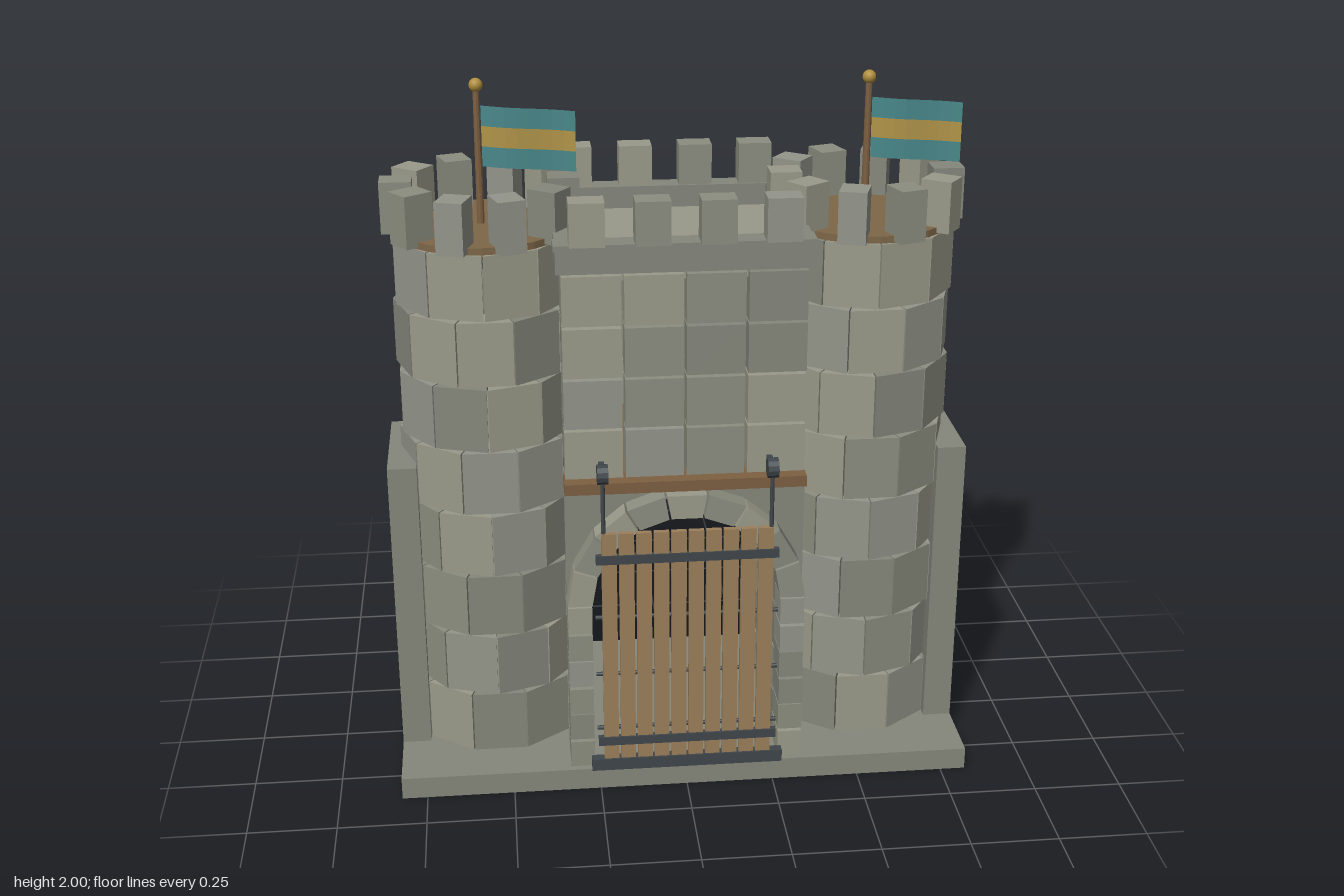
import * as THREE from 'three';

const mat = (color, extra = {}) => new THREE.MeshStandardMaterial({ color, flatShading: true, ...extra });
const STONES = [0x9a9a8a, 0x8c8e80, 0x85877b, 0x93958a].map((c) => mat(c));
const PLAIN = mat(0x85877b);
const PALE = mat(0x9a9a8a);
const PLANK = mat(0x9b7f5a);
const BEAM = mat(0x7d6042);
const FLOOR = mat(0x7d6748);
const IRON = mat(0x3f464a);
const GOLD = new THREE.MeshStandardMaterial({ color: 0xb08d3c });
const CLOTH = [0x4a8a8c, 0xb3964a, 0x4a8a8c].map((c) => mat(c, { side: THREE.DoubleSide }));

let seed = 7;
const pickStone = () => {
  seed = (seed * 16807) % 2147483647;
  return STONES[seed % STONES.length];
};

function add(parent, name, geometry, material, x = 0, y = 0, z = 0) {
  const mesh = new THREE.Mesh(geometry, material);
  mesh.name = name;
  mesh.position.set(x, y, z);
  parent.add(mesh);
  return mesh;
}

// box given by its lower and upper limits on each axis
function span(parent, name, material, [x0, x1], [y0, y1], [z0, z1]) {
  return add(parent, name, new THREE.BoxGeometry(x1 - x0, y1 - y0, z1 - z0), material,
    (x0 + x1) / 2, (y0 + y1) / 2, (z0 + z1) / 2);
}

function subgroup(parent, name) {
  const g = new THREE.Group();
  g.name = name;
  parent.add(g);
  return g;
}

// wedge-shaped stone between two radii and two angles, extruded along z
function wedge(inner, outer, a0, a1, depth, gap) {
  const at = (r, a, s) => new THREE.Vector2(
    r * Math.cos(a) - s * gap * Math.sin(a), r * Math.sin(a) + s * gap * Math.cos(a));
  const shape = new THREE.Shape([at(inner, a0, 1), at(outer, a0, 1), at(outer, a1, -1), at(inner, a1, -1)]);
  return new THREE.ExtrudeGeometry(shape, { depth, bevelEnabled: false });
}

const BASE = 0.065;

// ten-sided hollow tower of staggered stones, with merlons and a flag
function makeTower(parent, x, name) {
  const tower = subgroup(parent, name);
  tower.position.x = x;
  const rows = 8, rowH = (1.585 - BASE) / rows, step = Math.PI / 5;
  for (let r = 0; r < rows; r++) {
    for (let i = 0; i < 10; i++) {
      const a = (i + (r % 2 ? -0.5 : 0)) * step;
      const g = wedge(0.17, 0.252, a, a + step, rowH - 0.007, 0.002).rotateX(-Math.PI / 2);
      add(tower, 'towerStone', g, pickStone(), 0, BASE + r * rowH, 0);
    }
  }
  add(tower, 'towerFloor', new THREE.CylinderGeometry(0.24, 0.24, 0.025, 30), FLOOR, 0, 1.585, 0);
  for (let i = 0; i < 10; i++) {
    const a = i * step;
    const m = add(tower, 'towerMerlon', new THREE.BoxGeometry(0.088, 0.145, 0.077), pickStone(),
      0.228 * Math.cos(a), 1.655, 0.228 * Math.sin(a));
    m.rotation.y = -a;
  }
  // pole, finial and striped flag that sags away from the pole
  add(tower, 'flagPole', new THREE.CylinderGeometry(0.009, 0.011, 0.385, 10), BEAM, 0, 1.78, 0);
  add(tower, 'finial', new THREE.SphereGeometry(0.019, 14, 10), GOLD, 0, 1.98, 0);
  CLOTH.forEach((m, i) => {
    const g = new THREE.PlaneGeometry(0.255, 0.056, 8, 1);
    const p = g.attributes.position;
    for (let k = 0; k < p.count; k++) {
      const t = p.getX(k) / 0.255 + 0.5;
      p.setY(k, p.getY(k) - 0.022 * t);
      p.setZ(k, 0.006 * Math.sin(t * 6));
    }
    add(tower, 'flagStripe', g, m, 0.138, 1.896 - i * 0.056, 0);
  });
}

// block wall running along x at the given face, as a grid with open joints
function blockWall(parent, name, axis, [a0, a1], [y0, y1], [d0, d1], cols, rows) {
  const w = (a1 - a0) / cols, h = (y1 - y0) / rows, j = 0.004;
  for (let r = 0; r < rows; r++) {
    for (let c = 0; c < cols; c++) {
      const along = [a0 + c * w + j, a0 + (c + 1) * w - j];
      const up = [y0 + r * h + j, y0 + (r + 1) * h - j];
      if (axis === 'x') span(parent, name, pickStone(), along, up, [d0, d1]);
      else span(parent, name, pickStone(), [d0, d1], up, along);
    }
  }
}

// arch with jambs, voussoirs, spandrel and lintel beam; built facing +z
function makeArch(parent, name) {
  const arch = subgroup(parent, name);
  const inner = 0.265, outer = 0.335, spring = 0.58, n = 9, rows = 6;
  const h = (spring - BASE) / rows;
  for (const s of [-1, 1]) {
    for (let r = 0; r < rows; r++) {
      const y = BASE + r * h;
      add(arch, 'jambStone', new THREE.BoxGeometry(0.068, h - 0.006, r % 2 ? 0.105 : 0.115), pickStone(),
        s * 0.3, y + h / 2, 0.305);
    }
  }
  for (let i = 0; i < n; i++) {
    const a = (i * Math.PI) / n;
    add(arch, 'archStone', wedge(inner, outer, a, a + Math.PI / n, 0.11, 0.003), pickStone(), 0, spring, 0.25);
  }
  const fill = new THREE.Shape();
  fill.moveTo(outer, spring);
  fill.lineTo(outer, 0.92);
  fill.lineTo(-outer, 0.92);
  fill.lineTo(-outer, spring);
  fill.lineTo(-0.3, spring);
  fill.absarc(0, spring, 0.3, Math.PI, 0, true);
  add(arch, 'spandrel', new THREE.ExtrudeGeometry(fill, { depth: 0.04, bevelEnabled: false, curveSegments: 18 }),
    PLAIN, 0, 0, 0.26);
  span(arch, 'lintelBeam', BEAM, [-0.335, 0.335], [0.914, 0.946], [0.26, 0.337]);
  return arch;
}

function makeGatehouse(parent) {
  const house = subgroup(parent, 'gatehouse');
  makeArch(house, 'frontArch');
  makeArch(house, 'backArch').rotation.y = Math.PI;
  for (const s of [-1, 1]) {
    const side = (a, b) => (s > 0 ? [a, b] : [-b, -a]);
    blockWall(house, 'wallBlock', 'x', [-0.335, 0.335], [0.946, 1.535], side(0.24, 0.307), 4, 4);
    blockWall(house, 'sideBlock', 'z', [-0.24, 0.24], [0.946, 1.535], side(0.27, 0.33), 3, 4);
    blockWall(house, 'passageBlock', 'z', [-0.25, 0.25], [BASE, 0.92], side(0.27, 0.33), 4, 6);
    // parapet and its merlons
    span(house, 'parapet', PLAIN, [-0.345, 0.345], [1.54, 1.62], side(0.255, 0.315));
    span(house, 'parapetCourse', PLAIN, [-0.35, 0.35], [1.605, 1.62], side(0.25, 0.318));
    span(house, 'sideParapet', PLAIN, side(0.292, 0.345), [1.54, 1.62], [-0.255, 0.255]);
    for (let i = 0; i < 4; i++) {
      add(house, 'gateMerlon', new THREE.BoxGeometry(0.095, 0.12, 0.072), pickStone(),
        (i - 1.5) * 0.174, 1.677, s * 0.294);
    }
  }
  span(house, 'roofDeck', PALE, [-0.31, 0.31], [1.51, 1.555], [-0.28, 0.28]);
  span(house, 'passageCeiling', FLOOR, [-0.3, 0.3], [0.92, 0.945], [-0.26, 0.26]);
}

// raised plank gate with iron bands, hinge bar, chains and pulleys
function makeGate(parent) {
  const gate = subgroup(parent, 'gate');
  const bar = (name, r, len, x, y, z) =>
    add(gate, name, new THREE.CylinderGeometry(r, r, len, 12).rotateZ(Math.PI / 2), IRON, x, y, z);
  for (let i = 0; i < 10; i++) {
    add(gate, 'plank', new THREE.BoxGeometry(0.042, 0.735, 0.016), PLANK, (i - 4.5) * 0.0485, 0.447, 0.376);
  }
  for (const y of [0.16, 0.737]) {
    add(gate, 'ironBand', new THREE.BoxGeometry(0.51, 0.026, 0.018), IRON, 0, y, 0.38);
  }
  for (const y of [0.195, 0.37, 0.55]) bar('backRod', 0.006, 0.515, 0, y, 0.366);
  add(gate, 'hingeBar', new THREE.BoxGeometry(0.55, 0.036, 0.028), IRON, 0, 0.083, 0.375);
  for (const x of [-0.233, 0.233]) {
    add(gate, 'chain', new THREE.CylinderGeometry(0.006, 0.006, 0.25, 8), IRON, x, 0.865, 0.375);
    bar('pulley', 0.028, 0.03, x, 0.992, 0.375);
    add(gate, 'pulleyArm', new THREE.BoxGeometry(0.016, 0.018, 0.08), IRON, x, 0.992, 0.335);
  }
}

export function createModel() {
  const root = new THREE.Group();
  root.name = 'castleGate';
  const castle = subgroup(root, 'castle');
  castle.position.z = -0.008;
  span(castle, 'basePlate', PLAIN, [-0.822, 0.822], [0, BASE], [-0.378, 0.378]);
  for (const s of [-1, 1]) {
    add(castle, 'sideWall', new THREE.BoxGeometry(0.082, 0.885, 0.355), PLAIN, s * 0.781, 0.502, 0);
    makeTower(castle, s * 0.535, s > 0 ? 'leftTower' : 'rightTower');
  }
  makeGatehouse(castle);
  makeGate(castle);
  return root;
}
